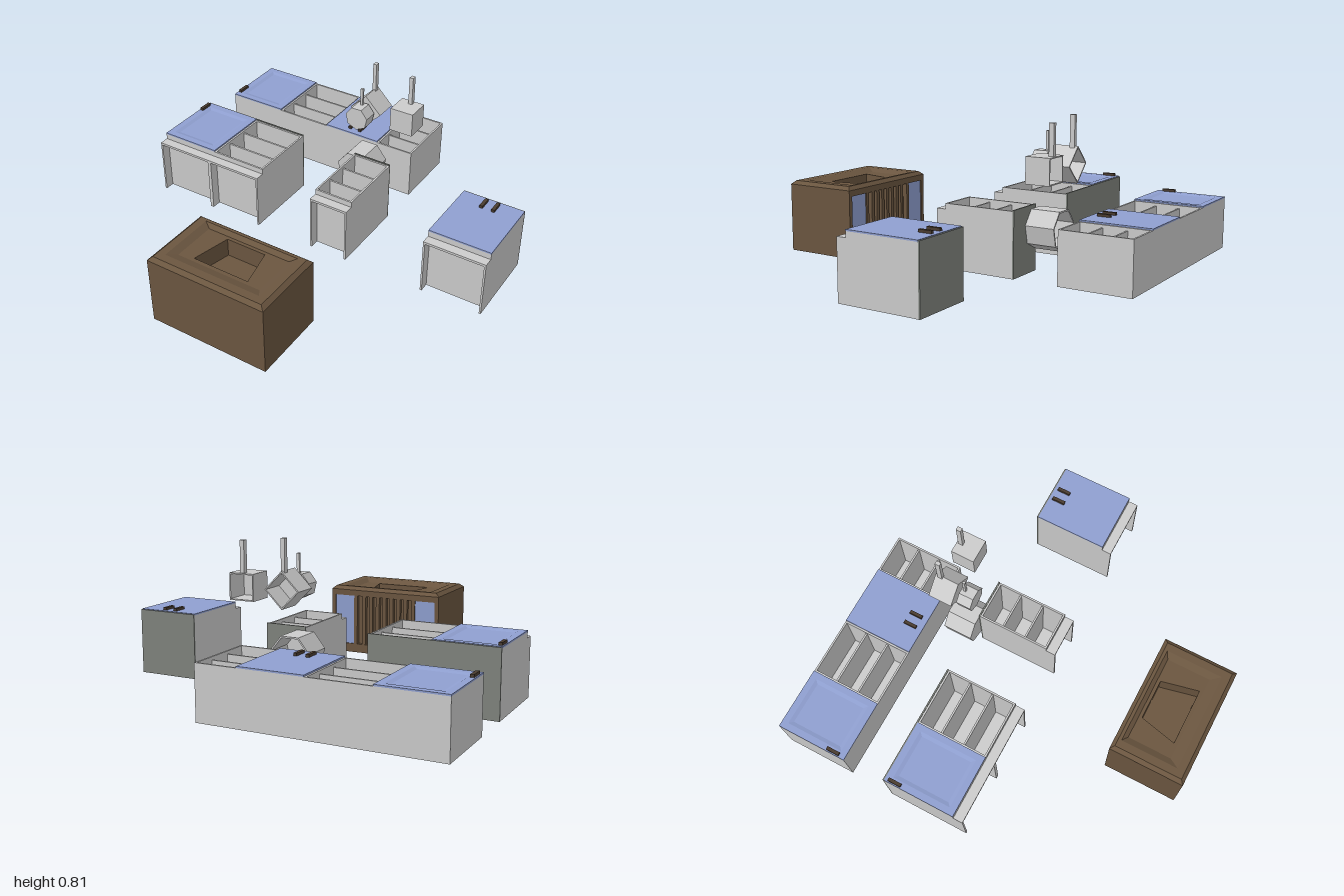
import * as THREE from 'three';

const mat = (color) => new THREE.MeshStandardMaterial({ color, flatShading: true });
const grey = mat(0xcccccc), blue = mat(0x8f9fd0), brown = mat(0x6b5640), dark = mat(0x4a3c30), slate = mat(0x80847e);
const T = 0.01; // board thickness

function add(parent, name, geometry, material) {
  const mesh = new THREE.Mesh(geometry, material);
  mesh.name = name;
  parent.add(mesh);
  return mesh;
}

// Box given by its limits on each axis
function box(parent, name, x0, x1, y0, y1, z0, z1, material = grey) {
  const g = new THREE.BoxGeometry(x1 - x0, y1 - y0, z1 - z0);
  g.translate((x0 + x1) / 2, (y0 + y1) / 2, (z0 + z1) / 2);
  return add(parent, name, g, material);
}

// Upward-facing moulding through rectangles [x0, x1, z0, z1, y], outermost first
function moulding(parent, name, rects, material) {
  const pos = [];
  const corners = ([x0, x1, z0, z1, y]) => [[x0, y, z0], [x1, y, z0], [x1, y, z1], [x0, y, z1]];
  for (let r = 0; r < rects.length - 1; r++) {
    const a = corners(rects[r]), b = corners(rects[r + 1]);
    for (let i = 0; i < 4; i++) {
      const j = (i + 1) % 4;
      pos.push(...a[i], ...b[i], ...b[j], ...a[i], ...b[j], ...a[j]);
    }
  }
  const g = new THREE.BufferGeometry();
  g.setAttribute('position', new THREE.Float32BufferAttribute(pos, 3));
  g.computeVertexNormals();
  return add(parent, name, g, material);
}

// Door lying over a cabinet; panelled doors have a sunken bevelled field
function door(parent, x0, x1, z0, z1, y, panelled, handles, handleZ) {
  const top = y + 0.008, low = y + 0.002;
  box(parent, 'doorPanel', x0, x1, y, panelled ? low : top, z0, z1, blue);
  if (panelled) {
    moulding(parent, 'doorFrame', [
      [x0, x1, z0, z1, low], [x0, x1, z0, z1, top],
      [x0 + 0.035, x1 - 0.035, z0 + 0.035, z1 - 0.035, top],
      [x0 + 0.055, x1 - 0.055, z0 + 0.055, z1 - 0.055, low],
    ], blue);
  }
  for (const x of handles) {
    box(parent, 'doorHandle', x - 0.009, x + 0.009, top, top + 0.014, handleZ - 0.036, handleZ + 0.036, dark);
  }
}

// Open-topped cabinet carcass with optional shelves
function carcass(parent, x0, x1, z0, z1, h, shelves) {
  box(parent, 'backPanel', x0, x1, 0, T, z0, z1);
  for (const x of [x0, x1 - T]) box(parent, 'sidePanel', x, x + T, T, h, z0, z1);
  for (const z of [z0, z1 - T]) box(parent, 'endPanel', x0 + T, x1 - T, T, h, z, z + T);
  for (let i = 1; i <= shelves; i++) {
    const z = z0 + (z1 - z0) * i / (shelves + 1);
    box(parent, 'shelf', x0 + T, x1 - T, T, h - 0.015, z - T / 2, z + T / 2);
  }
}

function wallCabinet(x0, x1, open, panelled, handles) {
  const g = new THREE.Group();
  g.name = 'wallCabinet';
  carcass(g, x0, x1, -0.99, -0.6, 0.28, open ? 2 : 0);
  if (!open) door(g, x0, x1, -0.99, -0.6, 0.28, panelled, handles, -0.67);
  return g;
}

function baseCabinet(x0, x1, open, panelled, handles) {
  const g = new THREE.Group();
  g.name = 'baseCabinet';
  carcass(g, x0, x1, -0.35, 0.045, 0.34, open ? 2 : 0);
  box(g, 'worktop', x0, x1, 0, 0.345, -0.358, -0.35, slate);
  // Plinth: two legs and a kick board
  for (const x of [x0, x1 - T]) box(g, 'plinthSide', x, x + T, 0, 0.31, 0.045, 0.097);
  box(g, 'kickBoard', x0 + T, x1 - T, 0.297, 0.31, 0.045, 0.097);
  if (!open) door(g, x0, x1, -0.35, 0.045, 0.34, panelled, handles, -0.295);
  return g;
}

// Hollow vessel with n sides, opening towards -z
function pot(name, n, turn, r, x, y, z, depth, handle) {
  const g = new THREE.Group();
  g.name = name;
  const w = 0.009;
  const profile = [[0, 0], [r, 0], [r, depth], [r - w, depth], [r - w, w], [0, w]]
    .map(([a, b]) => new THREE.Vector2(a, b));
  const body = new THREE.LatheGeometry(profile, n, turn);
  body.rotateX(-Math.PI / 2);
  body.translate(x, y, z);
  add(g, 'vessel', body, grey);
  if (handle) {
    const [y0, y1, hz, hw, hd] = handle;
    box(g, 'potHandle', x - hw / 2, x + hw / 2, y0, y1, hz - hd / 2, hz + hd / 2);
  }
  return g;
}

function island() {
  const g = new THREE.Group();
  g.name = 'island';
  const X = 0.333, Z0 = 0.578, Z1 = 0.987, ZB = 0.603, H = 0.368, TOP = 0.387, FLOOR = 0.27;
  box(g, 'islandBody', -X, X, 0, FLOOR, ZB, Z1, brown);

  // Upper body with a trapezoid well
  const rect = [[-X, -Z1], [X, -Z1], [X, -ZB], [-X, -ZB]];
  const well = [[-0.11, -0.655], [0.11, -0.655], [0.155, -0.855], [-0.155, -0.855]];
  const vec = (p) => p.map(([a, b]) => new THREE.Vector2(a, b));
  const shape = new THREE.Shape(vec(rect));
  shape.holes.push(new THREE.Path(vec(well)));
  const upper = new THREE.ExtrudeGeometry(shape, { depth: H - FLOOR, bevelEnabled: false });
  upper.rotateX(-Math.PI / 2);
  upper.translate(0, FLOOR, 0);
  add(g, 'islandWell', upper, brown);

  // Chamfered rim stepping down into the top
  moulding(g, 'islandRim', [
    [-X, X, Z0, Z1, H], [-X + 0.022, X - 0.022, Z0 + 0.02, Z1 - 0.02, TOP],
    [-0.27, 0.27, 0.615, 0.925, TOP], [-0.235, 0.235, 0.637, 0.875, H],
  ], brown);

  // Back face: surround, two doors and a slatted bay
  box(g, 'lowerRail', -X, X, 0, 0.05, Z0, ZB, brown);
  box(g, 'upperRail', -X, X, 0.335, H, Z0, ZB, brown);
  for (const s of [-1, 1]) {
    const span = (name, a, b, z0, m) =>
      box(g, name, Math.min(s * a, s * b), Math.max(s * a, s * b), 0.05, 0.335, z0, ZB, m);
    span('outerStile', 0.31, X, Z0, brown);
    span('innerStile', 0.17, 0.19, Z0, brown);
    span('islandDoor', 0.19, 0.31, Z0 + 0.007, blue);
  }
  for (let i = -3; i <= 3; i++) {
    box(g, 'slat', i * 0.043 - 0.011, i * 0.043 + 0.011, 0.05, 0.335, Z0 + 0.004, ZB, brown);
  }
  return g;
}

export function createModel() {
  const model = new THREE.Group();
  model.name = 'kitchenSet';
  model.add(
    wallCabinet(-1, -0.66, false, true, [-0.985]),
    wallCabinet(-0.66, -0.338, true),
    wallCabinet(-0.338, 0, false, false, [-0.2, -0.137]),
    wallCabinet(0, 0.22, true),
    baseCabinet(-1, -0.66, false, true, [-0.985]),
    baseCabinet(-0.66, -0.338, true),
    baseCabinet(0, 0.22, true),
    baseCabinet(0.662, 1, false, false, [0.8, 0.865]),
    island(),
    pot('largePot', 7, Math.PI, 0.111, 0, 0.225, -0.357, 0.16),
    pot('smallPan', 7, Math.PI, 0.067, 0, 0.56, -0.36, 0.08, [0.61, 0.718, -0.42, 0.014, 0.014]),
    pot('diamondPan', 4, 0, 0.092, 0, 0.56, -0.458, 0.13, [0.635, 0.805, -0.56, 0.02, 0.026]),
    pot('squarePan', 4, Math.PI / 4, 0.094, 0.22, 0.56, -0.458, 0.13, [0.62, 0.785, -0.565, 0.022, 0.026]),
  );
  return model;
}
